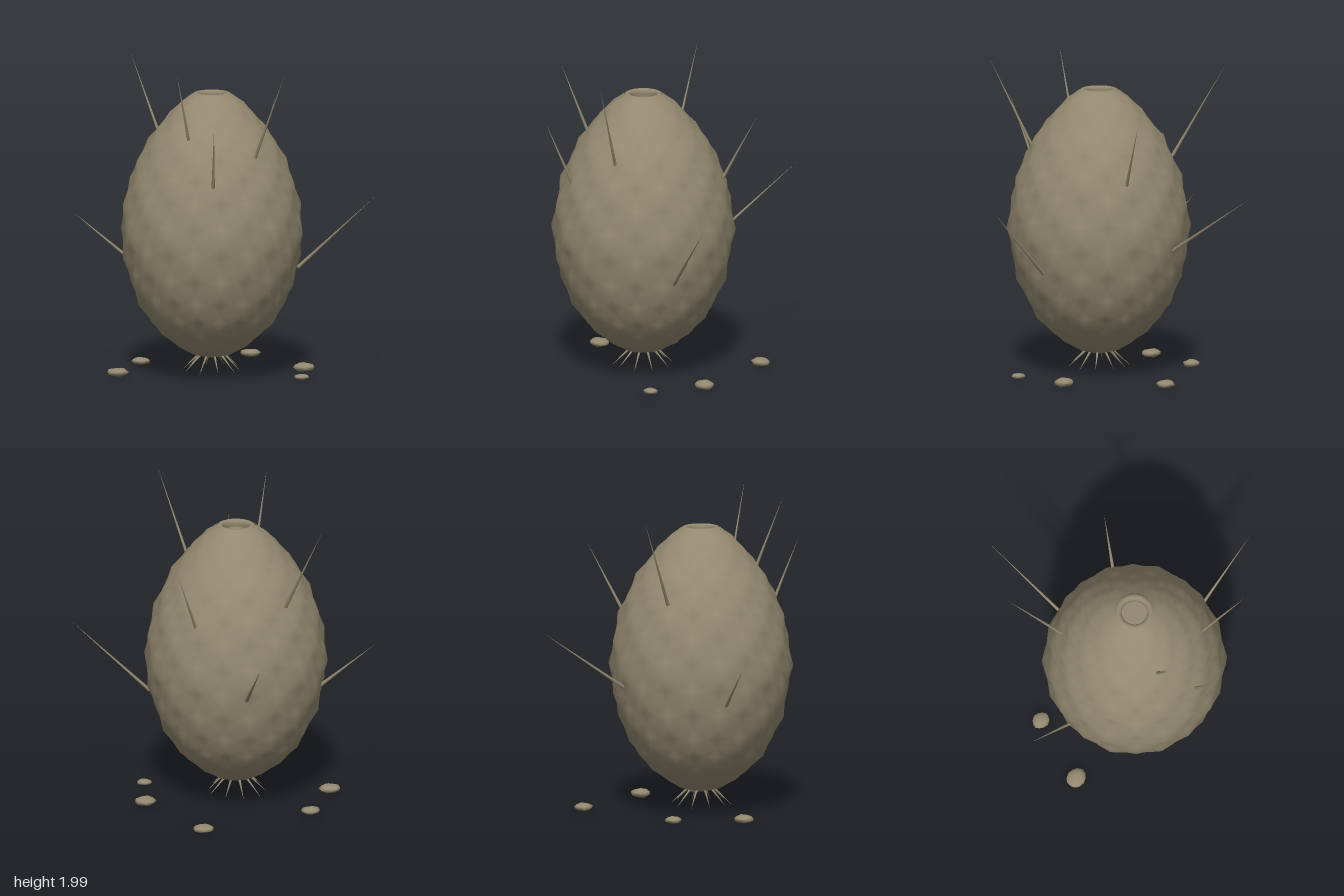
import * as THREE from 'three';
import { mergeVertices } from 'three/addons/utils/BufferGeometryUtils.js';

const CX = -0.08, CZ = 0.225; // axis of the pod

function named(geometry, material, name) {
  const mesh = new THREE.Mesh(geometry, material);
  mesh.name = name;
  return mesh;
}

// Egg-shaped shell covered in staggered bumps with pits between them
function shellGeometry() {
  const profile = [ // [y, radius at the bumps]
    [0.13, 0.05], [0.15, 0.13], [0.2, 0.22], [0.27, 0.31], [0.35, 0.39], [0.46, 0.46],
    [0.6, 0.52], [0.76, 0.56], [0.93, 0.58], [1.1, 0.56], [1.25, 0.523], [1.38, 0.47],
    [1.5, 0.407], [1.59, 0.337], [1.67, 0.27], [1.74, 0.2], [1.795, 0.122],
  ];
  const sides = 40, steps = (profile.length - 1) * 2, depth = 0.055;
  const pos = [], index = [];
  for (let k = 0; k <= steps; k++) {
    const [y0, r0] = profile[Math.floor(k / 2)], [y1, r1] = profile[Math.ceil(k / 2)];
    const y = (y0 + y1) / 2, r = (r0 + r1) / 2;
    const d = k === steps ? 0 : depth;
    for (let i = 0; i < sides; i++) {
      const a = (i / sides) * Math.PI * 2;
      const bump = 0.5 + 0.5 * Math.cos(Math.PI * i / 2) * Math.cos(Math.PI * k / 2);
      const rr = r * (1 - d * (1 - bump));
      pos.push(rr * Math.sin(a), y, rr * Math.cos(a));
    }
  }
  for (let k = 0; k < steps; k++) {
    for (let i = 0; i < sides; i++) {
      const j = (i + 1) % sides;
      const a = k * sides + i, b = k * sides + j, c = b + sides, d = a + sides;
      if ((i + k) % 2 === 0) index.push(a, b, c, a, c, d);
      else index.push(a, b, d, b, c, d);
    }
  }
  // close the underside
  const pole = pos.length / 3;
  pos.push(0, 0.127, 0);
  for (let i = 0; i < sides; i++) index.push(pole, (i + 1) % sides, i);
  const g = new THREE.BufferGeometry();
  g.setAttribute('position', new THREE.Float32BufferAttribute(pos, 3));
  g.setIndex(index);
  g.computeVertexNormals();
  return g;
}

// Lumpy low-poly stone of unit size
function pebbleGeometry(seed) {
  const g = new THREE.IcosahedronGeometry(1, 1);
  g.deleteAttribute('normal');
  g.deleteAttribute('uv');
  const p = g.attributes.position, v = new THREE.Vector3();
  for (let i = 0; i < p.count; i++) {
    v.fromBufferAttribute(p, i);
    v.multiplyScalar(1 + 0.11 * Math.sin(v.x * 7 + v.y * 5 + seed * 2) * Math.cos(v.z * 6 + seed));
    p.setXYZ(i, v.x, v.y, v.z);
  }
  const merged = mergeVertices(g, 1e-3);
  merged.computeVertexNormals();
  return merged;
}

// Thin cone from base to tip
function thorn(base, tip, radius, material, name) {
  const a = new THREE.Vector3(...base), b = new THREE.Vector3(...tip);
  const dir = b.clone().sub(a);
  const mesh = named(new THREE.ConeGeometry(radius, dir.length(), 6), material, name);
  mesh.position.copy(a).add(b).multiplyScalar(0.5);
  mesh.quaternion.setFromUnitVectors(new THREE.Vector3(0, 1, 0), dir.normalize());
  return mesh;
}

export function createModel() {
  const group = new THREE.Group();
  group.name = 'spinyPod';
  const shellMat = new THREE.MeshStandardMaterial({ color: 0x93886f });
  shellMat.name = 'dull brown';

  // Shell, with a rolled lip and a shallow hollow at the top
  const pod = new THREE.Group();
  pod.name = 'pod';
  pod.position.set(CX, 0, CZ);
  pod.add(named(shellGeometry(), shellMat, 'shell'));
  const lip = [[0.125, 1.786], [0.116, 1.797], [0.104, 1.802], [0.09, 1.799], [0.081, 1.788],
    [0.082, 1.77], [0.085, 1.75]];
  pod.add(named(new THREE.LatheGeometry(lip.map(p => new THREE.Vector2(...p)), 32), shellMat, 'mouth'));
  const floor = named(new THREE.CircleGeometry(0.086, 32), shellMat, 'mouthFloor');
  floor.rotation.x = -Math.PI / 2;
  floor.position.y = 1.752;
  pod.add(floor);
  group.add(pod);

  // Long thorns: [base, tip]
  const thorns = [
    [[-0.33, 1.37, -0.16], [-0.515, 1.94, -0.435]],
    [[0.23, 1.24, -0.15], [0.38, 1.675, -0.325]],
    [[-0.25, 1.51, 0.51], [-0.347, 1.99, 0.665]],
    [[0.145, 1.41, 0.56], [0.32, 2, 0.78]],
    [[-0.125, 1.27, 0.715], [-0.14, 1.685, 0.9]],
    [[-0.58, 0.735, 0.11], [-0.93, 1.025, 0.03]],
    [[0.45, 0.7, 0.32], [0.925, 1.15, 0.397]],
    [[-0.06, 0.81, -0.3], [-0.05, 1.205, -0.885]],
  ];
  thorns.forEach(([base, tip]) => group.add(thorn(base, tip, 0.012, shellMat, 'thorn')));

  // Ring of small roots underneath
  for (let i = 0; i < 10; i++) {
    const a = (i / 10) * Math.PI * 2 + 0.1;
    const s = Math.sin(a), c = Math.cos(a), r = 0.19 + 0.01 * Math.sin(i * 2.4);
    group.add(thorn([CX + s * 0.06, 0.165, CZ + c * 0.06],
      [CX + s * r, 0.042 + 0.006 * Math.cos(i * 1.7), CZ + c * r], 0.01, shellMat, 'root'));
  }

  // Flat pebbles on the ground: [x, z, radius, half height]
  const pebbles = [[-0.67, 0.19, 0.068, 0.026], [-0.48, -0.21, 0.058, 0.023], [0.235, -0.44, 0.064, 0.025],
    [0.51, 0.135, 0.067, 0.028], [0.455, 0.495, 0.048, 0.017]];
  pebbles.forEach(([x, z, r, h], i) => {
    const p = named(pebbleGeometry(i), shellMat, 'pebble');
    p.scale.set(r, h, r * 0.88);
    p.position.set(x, 0.035, z);
    group.add(p);
  });
  return group;
}
